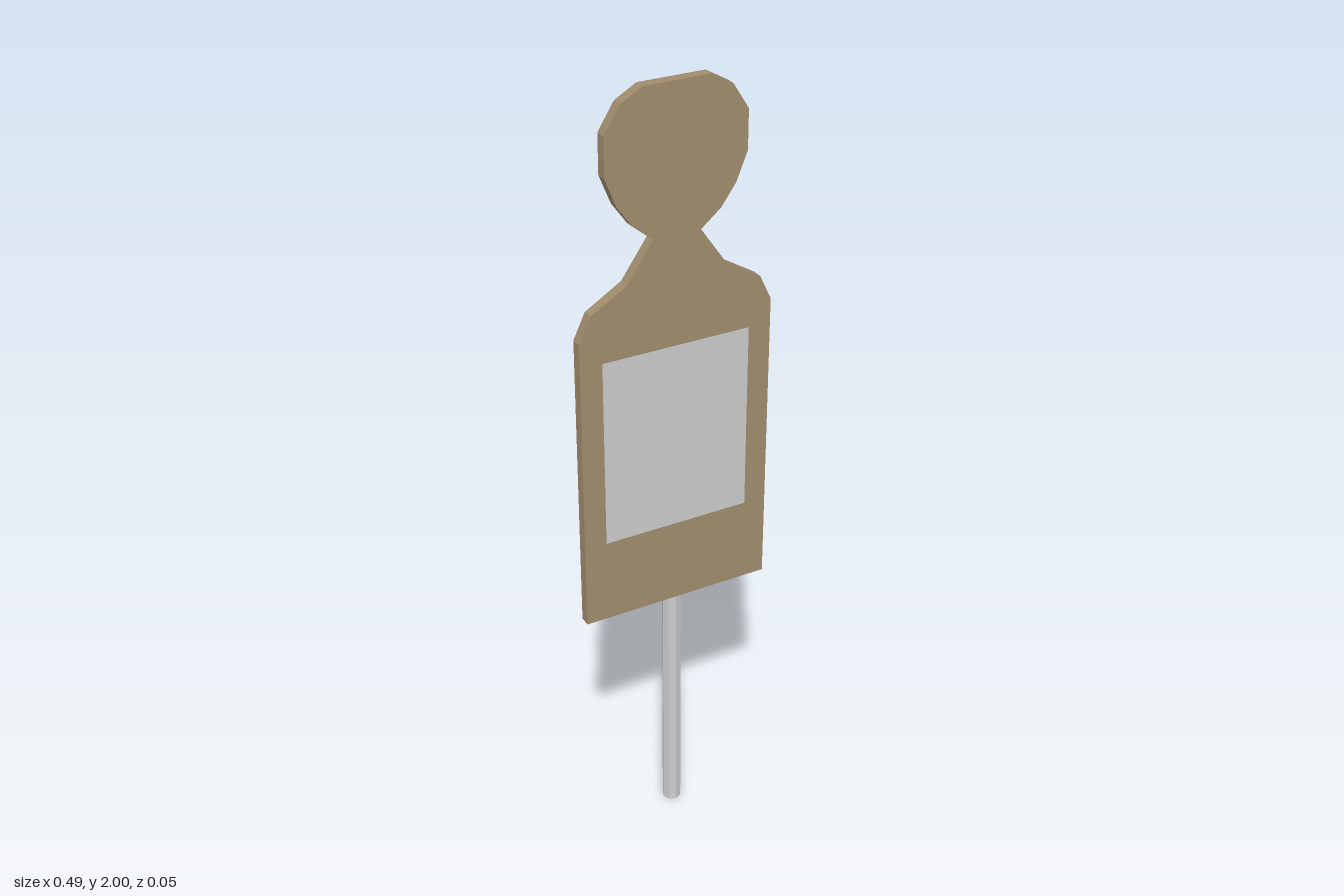
import * as THREE from 'three';

export function createModel() {
  const group = new THREE.Group();
  const wood = new THREE.MeshStandardMaterial({ color: 0xa08c6d, flatShading: true });
  const grey = new THREE.MeshStandardMaterial({ color: 0xcccccc, flatShading: true });

  const add = (name, geometry, material, x, y, z) => {
    const mesh = new THREE.Mesh(geometry, material);
    mesh.name = name;
    mesh.position.set(x, y, z);
    group.add(mesh);
    return mesh;
  };

  // Silhouette board: right half of the outline, bottom to top, then mirrored
  const half = [
    [0.247, 0.67], [0.247, 1.435], [0.217, 1.498], [0.126, 1.553], [0.06, 1.648],
    [0.111, 1.69], [0.148, 1.742], [0.176, 1.812], [0.176, 1.907], [0.136, 1.97], [0.083, 2],
  ];
  const outline = [...half, ...half.map(([x, y]) => [-x, y]).reverse()];
  const shape = new THREE.Shape(outline.map(([x, y]) => new THREE.Vector2(x, y)));
  const board = new THREE.ExtrudeGeometry(shape, { depth: 0.028, bevelEnabled: false });
  add('silhouetteBoard', board, wood, 0, 0, -0.003);

  // Paper panel lying just in front of the chest
  const paper = grey.clone();
  paper.side = THREE.DoubleSide;
  add('targetPanel', new THREE.PlaneGeometry(0.38, 0.485), paper, -0.001, 1.132, 0.026);

  // Eight-sided post, half sunk into the back of the board
  add('post', new THREE.CylinderGeometry(0.0245, 0.0245, 1.486, 8), grey, 0, 0.743, -0.002);

  return group;
}
